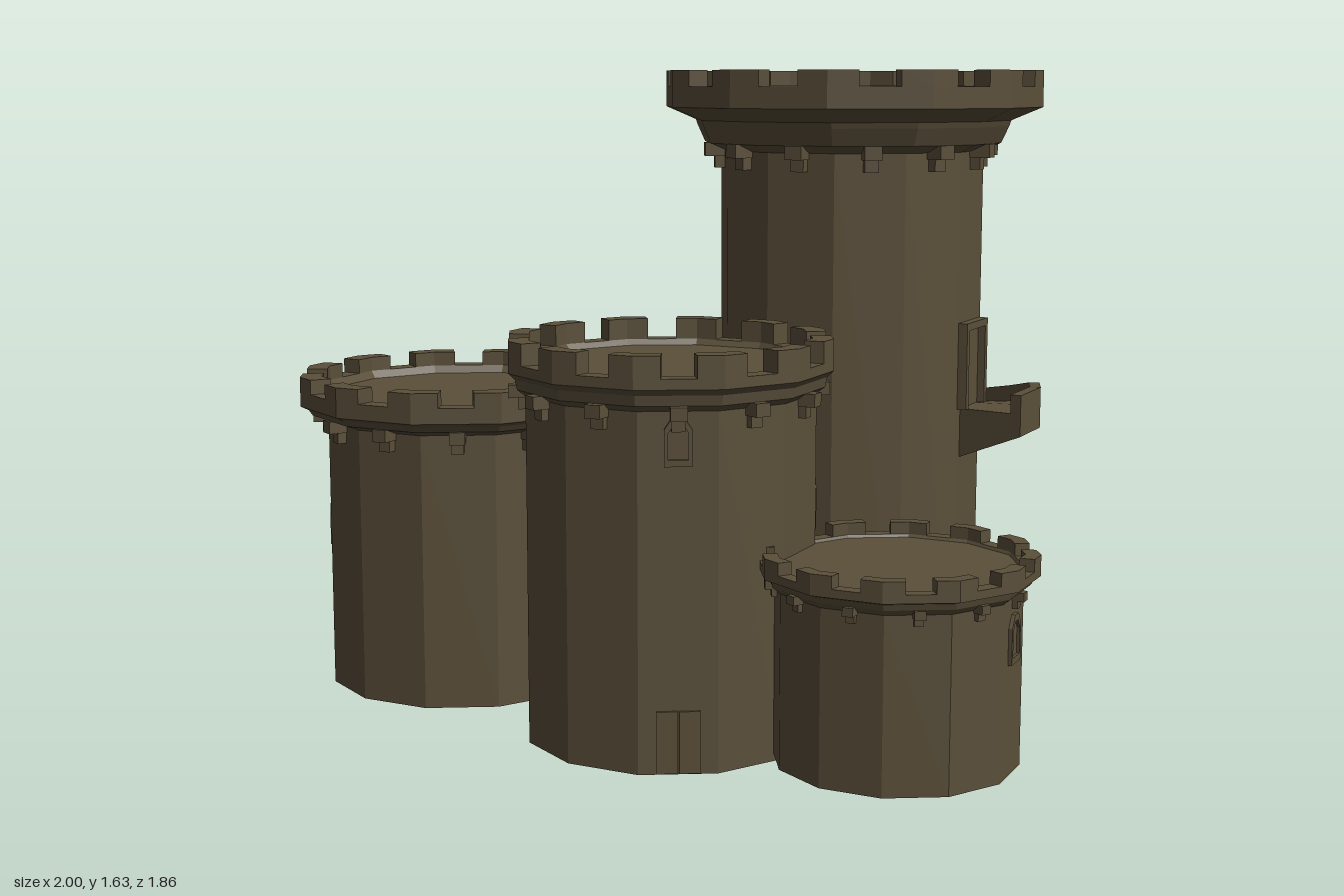
import * as THREE from 'three';

const SIDES = 12, STEP = Math.PI * 2 / SIDES, COS = Math.cos(STEP / 2);
const deg = THREE.MathUtils.degToRad;
const stone = new THREE.MeshStandardMaterial({ color: 0x5a4f3a, flatShading: true, side: THREE.DoubleSide });
stone.name = 'dark stone';

function part(name, geometry, parent, x = 0, y = 0, z = 0) {
  const mesh = new THREE.Mesh(geometry, stone);
  mesh.name = name;
  mesh.position.set(x, y, z);
  parent.add(mesh);
  return mesh;
}
const box = (w, h, d) => new THREE.BoxGeometry(w, h, d);

// Empty group turned so that its local z points outward; 0 is front, 90 is right, 180 is back
function facing(tower, angle, name) {
  const g = new THREE.Group();
  g.name = name;
  g.rotation.y = deg(angle);
  tower.add(g);
  return g;
}

// Faceted wall, flared parapet and sunken roof; radii are measured to the flat sides
function makeTower(name, x, z, profile, rim, bracket) {
  const tower = new THREE.Group();
  tower.name = name;
  tower.position.set(x, 0, z);
  const pts = profile.map(([r, y]) => new THREE.Vector2(r / COS, y));
  part(name + 'Wall', new THREE.LatheGeometry(pts, SIDES, STEP / 2), tower);

  // Merlons bent around each corner of the rim
  const shapes = [];
  for (let i = 0; i < SIDES; i++) {
    const corner = (k, r) => new THREE.Vector2(Math.cos((k + 0.5) * STEP), Math.sin((k + 0.5) * STEP)).multiplyScalar(r / COS);
    const arc = r => [corner(i, r).lerp(corner(i - 1, r), 0.3), corner(i, r), corner(i, r).lerp(corner(i + 1, r), 0.3)];
    shapes.push(new THREE.Shape([...arc(rim.outer), ...arc(rim.inner).reverse()]));
  }
  const merlons = new THREE.ExtrudeGeometry(shapes, { depth: rim.top - rim.y + 0.005, bevelEnabled: false });
  merlons.rotateX(-Math.PI / 2);
  part(name + 'Merlons', merlons, tower, 0, rim.y - 0.005, 0);

  // Stepped brackets under the parapet
  for (let i = 0; i < SIDES; i++) {
    const g = facing(tower, i * 30, 'bracket');
    const { r, y, s } = bracket;
    part('bracketUpper', box(s, s * 0.8, s * 1.4), g, 0, y - s * 0.4, r + s * 0.5);
    part('bracketLower', box(s * 0.8, s * 0.8, s * 0.8), g, 0, y - s * 1.1, r + s * 0.2);
  }
  return tower;
}

// Pointed window: a thin frame around a thin pane
function addWindow(tower, angle, r, y, w = 0.065, h = 0.115) {
  const g = facing(tower, angle, 'window');
  const outline = k => [[-w / 2 * k, -h / 2 * k], [w / 2 * k, -h / 2 * k], [w / 2 * k, h * 0.25 * k],
    [w * 0.2 * k, h / 2 * k], [-w * 0.2 * k, h / 2 * k], [-w / 2 * k, h * 0.25 * k]].map(p => new THREE.Vector2(...p));
  const frame = new THREE.Shape(outline(1));
  frame.holes.push(new THREE.Path(outline(0.72).reverse()));
  part('windowFrame', new THREE.ExtrudeGeometry(frame, { depth: 0.009, bevelEnabled: false }), g, 0, y, r);
  part('windowPane', new THREE.ShapeGeometry(new THREE.Shape(outline(0.75))), g, 0, y, r + 0.002);
}

// Doorway of two jambs, a lintel and a leaf
function addDoorway(tower, angle, r, y, w, h, d) {
  const g = facing(tower, angle, 'doorway');
  for (const s of [-1, 1]) part('doorJamb', box(0.02, h, d), g, s * (w / 2 - 0.01), y + h / 2, r);
  part('doorLintel', box(w, 0.02, d), g, 0, y + h - 0.01, r);
  part('doorLeaf', box(w - 0.04, h, 0.008), g, 0, y + h / 2, r + 0.001);
}

// Closed solid swept through a list of equal cross-sections
function loft(sections) {
  const pos = [], n = sections[0].length;
  const tri = (...v) => v.forEach(p => pos.push(p.x, p.y, p.z));
  for (let i = 0; i + 1 < sections.length; i++) {
    for (let j = 0; j < n; j++) {
      const k = (j + 1) % n, a = sections[i], b = sections[i + 1];
      tri(a[j], b[j], b[k]);
      tri(a[j], b[k], a[k]);
    }
  }
  const flat = sections.profile.map(p => new THREE.Vector2(...p));
  for (const [a, b, c] of THREE.ShapeUtils.triangulateShape(flat, [])) {
    const s = sections[0], e = sections[sections.length - 1];
    tri(s[a], s[c], s[b]);
    tri(e[a], e[b], e[c]);
  }
  const g = new THREE.BufferGeometry();
  g.setAttribute('position', new THREE.Float32BufferAttribute(pos, 3));
  g.computeVertexNormals();
  return g;
}

export function createModel() {
  const castle = new THREE.Group();
  castle.name = 'castle';

  const west = makeTower('westTower', -0.58, -0.225,
    [[0, 0.01], [0.35, 0.01], [0.35, 0.72], [0.39, 0.735], [0.4, 0.75], [0.42, 0.76], [0.42, 0.8], [0.365, 0.8], [0.35, 0.78], [0, 0.78]],
    { outer: 0.42, inner: 0.365, y: 0.8, top: 0.838 }, { r: 0.35, y: 0.735, s: 0.04 });
  const gate = makeTower('gateTower', -0.055, 0.295,
    [[0, 0], [0.35, 0], [0.35, 0.86], [0.37, 0.875], [0.375, 0.9], [0.39, 0.915], [0.39, 0.94], [0.34, 0.94], [0.33, 0.925], [0, 0.925]],
    { outer: 0.39, inner: 0.34, y: 0.94, top: 0.993 }, { r: 0.345, y: 0.875, s: 0.04 });
  const keep = makeTower('keep', 0.475, -0.325,
    [[0, 0.015], [0.345, 0.015], [0.345, 1.42], [0.39, 1.44], [0.41, 1.485], [0.415, 1.5], [0.495, 1.535], [0.495, 1.59], [0.44, 1.59], [0.41, 1.56], [0, 1.56]],
    { outer: 0.495, inner: 0.44, y: 1.59, top: 1.632 }, { r: 0.345, y: 1.44, s: 0.045 });
  const small = makeTower('smallTower', 0.46, 0.61,
    [[0, 0.02], [0.283, 0.02], [0.283, 0.44], [0.3, 0.455], [0.305, 0.47], [0.32, 0.475], [0.32, 0.495], [0.285, 0.495], [0.28, 0.488], [0, 0.488]],
    { outer: 0.32, inner: 0.285, y: 0.495, top: 0.525 }, { r: 0.28, y: 0.455, s: 0.026 });
  castle.add(west, gate, keep, small);

  // Windows
  addWindow(west, 270, 0.35, 0.43);
  addWindow(gate, 0, 0.35, 0.79);
  addWindow(gate, 90, 0.35, 0.58, 0.08, 0.14);
  addWindow(keep, 90, 0.345, 0.38);
  addWindow(small, 60, 0.283, 0.345);

  // Front gate with two leaves
  const gateDoor = facing(gate, 0, 'frontGate');
  for (const s of [-1, 1]) part('gateLeaf', box(0.05, 0.15, 0.009), gateDoor, s * 0.027, 0.078, 0.352);

  // Side door and its sill
  addDoorway(gate, 120, 0.35, 0.3, 0.17, 0.15, 0.02);
  const sill = facing(gate, 120, 'sideDoorSill');
  part('sill', box(0.18, 0.05, 0.07), sill, 0, 0.27, 0.36).rotation.z = -0.15;

  // Descending walkway around the keep
  const profile = [[0.33, -0.19], [0.53, -0.11], [0.53, 0], [0.5, 0], [0.5, -0.05], [0.33, -0.05]];
  const sections = [];
  for (let t = 235; t >= 50; t -= 18.5) {
    const y = 0.79 - 0.0017 * Math.max(0, t - 80);
    sections.push(profile.map(([r, h]) => new THREE.Vector3(Math.sin(deg(t)) * r, y + h, Math.cos(deg(t)) * r)));
  }
  sections.profile = profile;
  part('spiralWalkway', loft(sections), keep);
  addDoorway(keep, 60, 0.345, 0.74, 0.17, 0.23, 0.05);
  addDoorway(keep, 225, 0.35, 0.48, 0.16, 0.19, 0.06);

  // Rear balcony with a wedge support
  const balcony = facing(keep, 180, 'balcony');
  part('balconyFloor', box(0.22, 0.03, 0.27), balcony, 0, 1.165, 0.47);
  for (const s of [-1, 1]) part('balconySideWall', box(0.025, 0.1, 0.27), balcony, s * 0.0975, 1.2, 0.47);
  part('balconyEndWall', box(0.22, 0.1, 0.025), balcony, 0, 1.2, 0.5925);
  const wedge = new THREE.ExtrudeGeometry(
    new THREE.Shape([[-0.02, 0.95], [0, 0.97], [0.18, 1.155], [-0.02, 1.155]].map(p => new THREE.Vector2(...p))),
    { depth: 0.2, bevelEnabled: false });
  wedge.rotateY(-Math.PI / 2);
  part('balconySupport', wedge, balcony, 0.1, 0, 0.34);
  addDoorway(keep, 180, 0.345, 1.18, 0.13, 0.2, 0.02);

  // Bridge between the keep and the west tower
  const bridge = new THREE.Group();
  bridge.name = 'bridge';
  bridge.position.set(-0.06, 0.4, -0.265);
  bridge.rotation.y = deg(14);
  part('bridgeDeck', box(0.46, 0.04, 0.17), bridge);
  for (const s of [-1, 1]) part('bridgeRail', box(0.46, 0.09, 0.025), bridge, 0, 0.025, s * 0.0775);
  castle.add(bridge);

  return castle;
}
